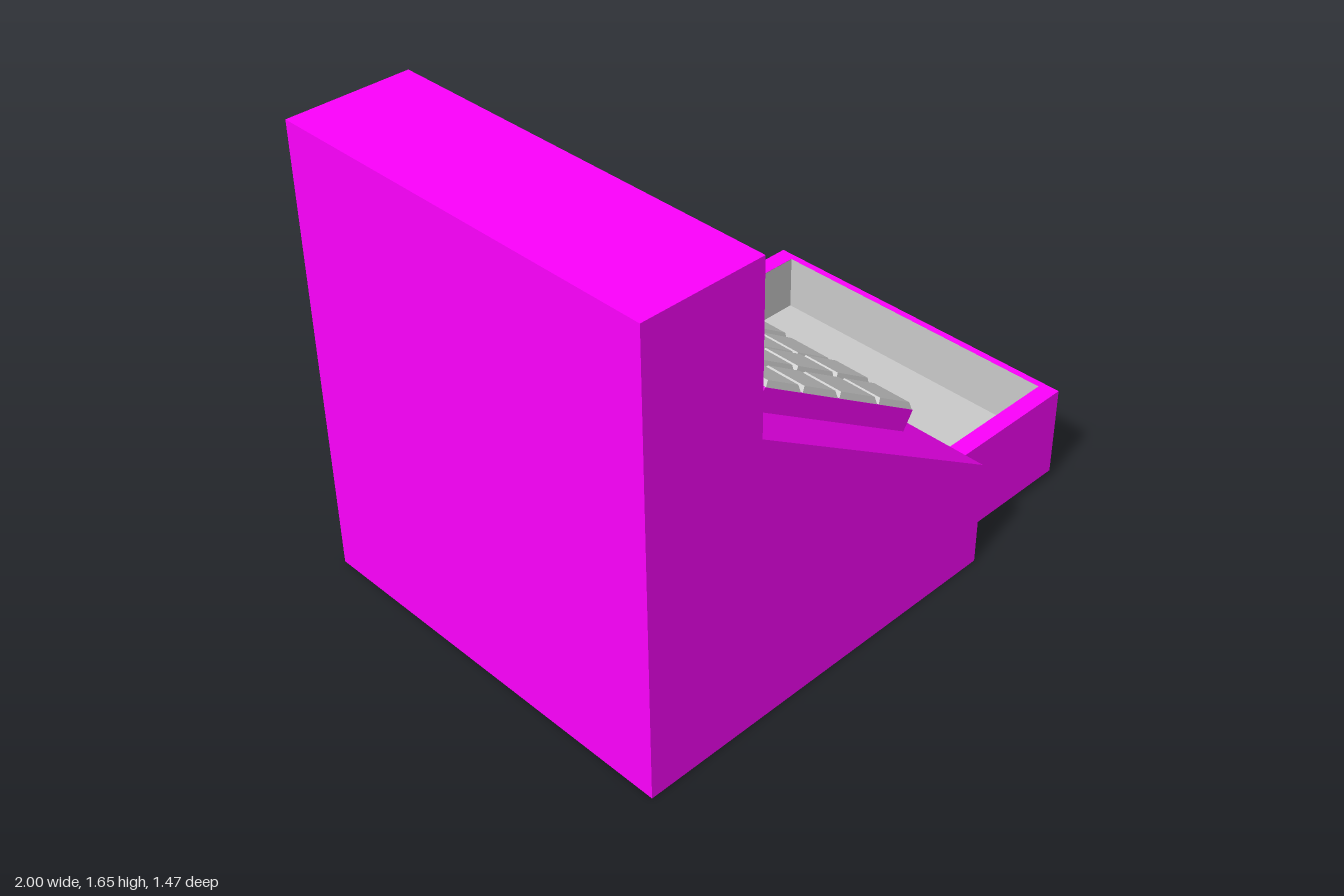
import * as THREE from 'three';

const paint = new THREE.MeshStandardMaterial({ color: 0xff00ff });
const grey = new THREE.MeshStandardMaterial({ color: 0xcccccc });

function add(parent, name, geometry, material, x = 0, y = 0, z = 0) {
  const mesh = new THREE.Mesh(geometry, material);
  mesh.name = name;
  mesh.position.set(x, y, z);
  parent.add(mesh);
  return mesh;
}

// Side profile (x, y) extruded from z0 to z1
function slab(points, z0, z1) {
  const shape = new THREE.Shape(points.map(([x, y]) => new THREE.Vector2(x, y)));
  return new THREE.ExtrudeGeometry(shape, { depth: z1 - z0, bevelEnabled: false }).translate(0, 0, z0);
}

// Box seen from inside, with one face left out (0 = +x, 2 = +y)
function liner(w, h, d, openFace) {
  const geometry = new THREE.BoxGeometry(w, h, d);
  const index = Array.from(geometry.index.array);
  index.splice(openFace * 6, 6);
  geometry.setIndex(index.reverse());
  geometry.clearGroups();
  geometry.computeVertexNormals();
  return geometry;
}

// Key cap: a box whose top is drawn in by a fixed margin
function keyCap(w, h, d, inset) {
  const geometry = new THREE.BoxGeometry(w, h, d).translate(0, h / 2, 0);
  const p = geometry.attributes.position;
  for (let i = 0; i < p.count; i++) {
    if (p.getY(i) > h / 2) {
      p.setX(i, p.getX(i) - Math.sign(p.getX(i)) * inset);
      p.setZ(i, p.getZ(i) - Math.sign(p.getZ(i)) * inset);
    }
  }
  geometry.computeVertexNormals();
  return geometry;
}

export function createModel() {
  const model = new THREE.Group();
  model.name = 'cashRegister';

  // Housing: two full-profile cheeks and a middle with the display notch
  const housing = new THREE.Group();
  housing.name = 'housing';
  model.add(housing);
  const lower = [[-1, 0], [0.47, 0], [0.47, 0.4], [-0.56, 1.06]];
  const upper = [[-0.56, 1.65], [-1, 1.65]];
  const notch = [[-0.56, 1.16], [-0.64, 1.16], [-0.64, 1.545], [-0.56, 1.545]];
  add(housing, 'leftCheek', slab([...lower, ...upper], 0.705, 0.735), paint);
  add(housing, 'rightCheek', slab([...lower, ...upper], -0.735, -0.71), paint);
  add(housing, 'middleBody', slab([...lower, ...notch, ...upper], -0.71, 0.705), paint);

  // Display: shallow grey tray at the back of the notch
  add(model, 'display', liner(0.016, 0.383, 1.413, 0), grey, -0.631, 1.3525, -0.0025);

  // Open cash drawer: walls, floor and grey lining
  const drawer = new THREE.Group();
  drawer.name = 'drawer';
  model.add(drawer);
  const rim = new THREE.Shape([[0.47, -0.64], [1, -0.64], [1, 0.64], [0.47, 0.64]]
    .map(([x, z]) => new THREE.Vector2(x, z)));
  rim.holes.push(new THREE.Path([[0.495, -0.575], [0.495, 0.575], [0.975, 0.575], [0.975, -0.575]]
    .map(([x, z]) => new THREE.Vector2(x, z))));
  const walls = new THREE.ExtrudeGeometry(rim, { depth: 0.34, bevelEnabled: false });
  walls.rotateX(-Math.PI / 2);
  add(drawer, 'drawerWalls', walls, paint, 0, 0.03, 0);
  add(drawer, 'drawerFloor', new THREE.BoxGeometry(0.48, 0.13, 1.15), paint, 0.735, 0.095, 0);
  add(drawer, 'drawerLining', liner(0.478, 0.207, 1.148, 2), grey, 0.735, 0.2665, 0);

  // Keypad, built flat (x runs down the slope) and then tilted
  const keypad = new THREE.Group();
  keypad.name = 'keypad';
  keypad.position.set(-0.355, 0.929, 0);
  keypad.rotation.z = -Math.atan2(0.66, 1.03);
  model.add(keypad);
  add(keypad, 'keypadBase', new THREE.BoxGeometry(0.82, 0.1, 1.095), paint, 0.41, 0.026, -0.0375);

  const rows = [0.002, 0.19, 0.388, 0.612, 0.82];
  const columns = [-0.585, -0.443, -0.25, -0.033, 0.163, 0.333, 0.513];
  for (let r = 0; r < 4; r++) {
    for (let c = 0; c < 6; c++) {
      const w = rows[r + 1] - rows[r] - 0.006;
      const d = columns[c + 1] - columns[c] - 0.006;
      const h = c % 2 ? 0.021 : 0.026;
      add(keypad, 'key', keyCap(w, h, d, 0.013), grey,
        (rows[r] + rows[r + 1]) / 2, 0.074, (columns[c] + columns[c + 1]) / 2);
    }
  }
  return model;
}
